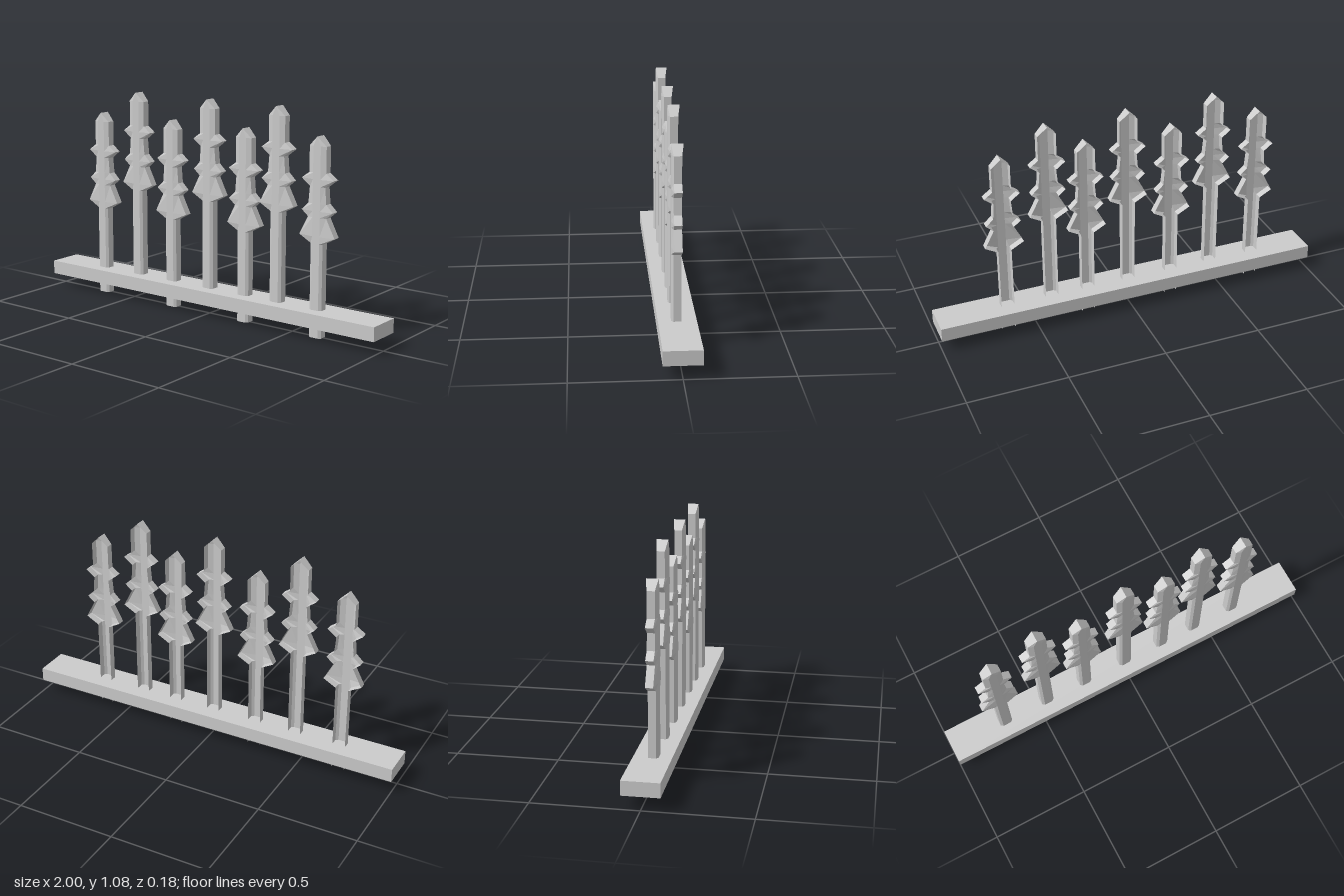
import * as THREE from 'three';

// Half-width and height along one post, from the foot to the tip
const OUTLINE = [
  [0.033, 0], [0.033, 0.455], [0.097, 0.49], [0.05, 0.58], [0.086, 0.61],
  [0.049, 0.645], [0.042, 0.725], [0.088, 0.76], [0.046, 0.79], [0.046, 0.915], [0, 0.96],
];

// Open-backed channel: side walls, bevels and a flat front, lofted up the outline
function postGeometry() {
  const pos = [], index = [];
  OUTLINE.forEach(([w, y]) => {
    const c = Math.min(w, 0.02);
    const tip = w === 0;
    const back = tip ? -0.028 : -0.018;
    const side = tip ? 0.028 : 0.019;
    pos.push(-w, y, back, -w, y, side, -c, y, 0.028, c, y, 0.028, w, y, side, w, y, back);
  });
  for (let r = 0; r < OUTLINE.length - 1; r++) {
    for (let k = 0; k < 5; k++) {
      const a = r * 6 + k, b = a + 1, d = a + 6, e = b + 6;
      index.push(a, b, e, a, e, d);
    }
  }
  const g = new THREE.BufferGeometry();
  g.setAttribute('position', new THREE.Float32BufferAttribute(pos, 3));
  g.setIndex(index);
  g.computeVertexNormals();
  return g;
}

export function createModel() {
  const model = new THREE.Group();
  model.name = 'spearFence';
  const solid = new THREE.MeshStandardMaterial({ color: 0xcccccc });
  const shell = new THREE.MeshStandardMaterial({
    color: 0xcccccc, flatShading: true, side: THREE.DoubleSide,
  });

  // Rail that the posts pass through
  const rail = new THREE.Mesh(new THREE.BoxGeometry(2, 0.07, 0.178), solid);
  rail.name = 'rail';
  rail.position.y = 0.1;
  model.add(rail);

  // Barbed posts, alternately low and raised
  const geometry = postGeometry();
  [-0.695, -0.455, -0.234, 0, 0.218, 0.411, 0.641].forEach((x, i) => {
    const post = new THREE.Mesh(geometry, shell);
    post.name = `barbedPost${i + 1}`;
    post.position.set(x, i % 2 ? 0.122 : 0, 0);
    model.add(post);
  });
  return model;
}
